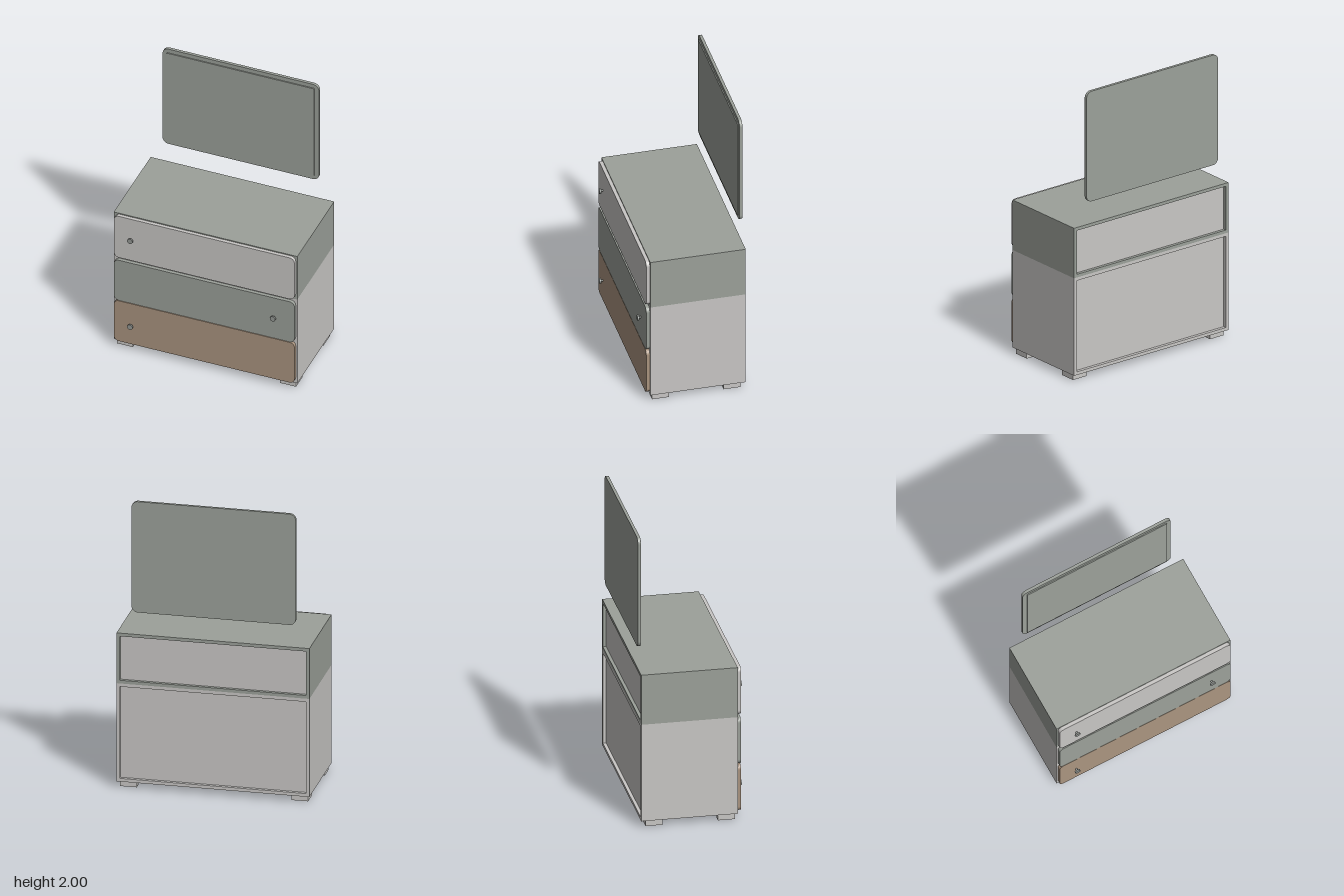
import * as THREE from 'three';

const mat = (name, color) => {
  const m = new THREE.MeshStandardMaterial({ color });
  m.name = name;
  return m;
};

export function createModel() {
  const white = mat('warm white', 0xc9c7c5);
  const sage = mat('sage green', 0x9ca19a);
  const tan = mat('tan', 0xab9580);
  const metal = mat('knob grey', 0x969a96);

  const model = new THREE.Group();
  model.name = 'dresserWithMirror';

  const add = (parent, name, geo, material, x = 0, y = 0, z = 0) => {
    const mesh = new THREE.Mesh(geo, material);
    mesh.name = name;
    mesh.position.set(x, y, z);
    parent.add(mesh);
    return mesh;
  };

  // Box given by its limits on each axis
  const block = (parent, name, material, [x0, x1], [y0, y1], [z0, z1]) =>
    add(parent, name, new THREE.BoxGeometry(x1 - x0, y1 - y0, z1 - z0), material,
      (x0 + x1) / 2, (y0 + y1) / 2, (z0 + z1) / 2);

  // Upright board with rounded corners, extruded from z0 to z1
  const board = (parent, name, material, [x0, x1], [y0, y1], [z0, z1], r) => {
    const s = new THREE.Shape();
    s.absarc(x1 - r, y1 - r, r, 0, Math.PI / 2);
    s.absarc(x0 + r, y1 - r, r, Math.PI / 2, Math.PI);
    s.absarc(x0 + r, y0 + r, r, Math.PI, Math.PI * 1.5);
    s.absarc(x1 - r, y0 + r, r, Math.PI * 1.5, Math.PI * 2);
    s.closePath();
    const geo = new THREE.ExtrudeGeometry(s, { depth: z1 - z0, bevelEnabled: false, curveSegments: 8 });
    return add(parent, name, geo, material, 0, 0, z0);
  };

  const W = 0.643, BACK = -0.343, FRONT = 0.297, T = 0.022;

  // Carcass: four walls around a recessed back panel
  const carcass = (name, material, y0, y1) => {
    const g = new THREE.Group();
    g.name = name;
    const z = [BACK, FRONT];
    block(g, 'leftWall', material, [W - T, W], [y0, y1], z);
    block(g, 'rightWall', material, [-W, -W + T], [y0, y1], z);
    block(g, 'topWall', material, [-W + T, W - T], [y1 - T, y1], z);
    block(g, 'bottomWall', material, [-W + T, W - T], [y0, y0 + T], z);
    block(g, 'backPanel', white, [-W + T, W - T], [y0 + T, y1 - T], [BACK + 0.022, BACK + 0.034]);
    model.add(g);
    return g;
  };
  carcass('upperCarcass', sage, 0.725, 1.075);
  const lower = carcass('lowerCarcass', white, 0.043, 0.725);
  block(lower, 'drawerRail', white, [-W + T, W - T], [0.371, 0.393], [BACK + 0.034, FRONT]);

  // Drawer fronts, each with one round knob
  const drawers = [
    ['topDrawer', white, 0.733, 1.068, -0.511, 0.905],
    ['middleDrawer', sage, 0.385, 0.711, 0.489, 0.557],
    ['bottomDrawer', tan, 0.054, 0.381, -0.511, 0.207],
  ];
  for (const [name, material, y0, y1, kx, ky] of drawers) {
    const g = new THREE.Group();
    g.name = name;
    board(g, 'drawerFront', material, [-0.632, 0.632], [y0, y1], [FRONT, 0.321], 0.034);
    const stem = new THREE.CylinderGeometry(0.007, 0.007, 0.018, 16).rotateX(Math.PI / 2);
    const disc = new THREE.CylinderGeometry(0.019, 0.019, 0.011, 24).rotateX(Math.PI / 2);
    add(g, 'knobStem', stem, metal, kx, ky, 0.329);
    add(g, 'knobDisc', disc, metal, kx, ky, 0.341);
    model.add(g);
  }

  // L-shaped feet with the bend at the outer corner
  for (const sx of [-1, 1]) for (const sz of [-1, 1]) {
    const ox = 0.627 * sx, oz = sz > 0 ? 0.281 : -0.311;
    const L = 0.112, w = 0.05;
    const s = new THREE.Shape();
    const pts = [[0, 0], [L, 0], [L, w], [w, w], [w, L], [0, L]];
    // Shape y becomes -z once laid flat
    s.setFromPoints(pts.map(([a, b]) => new THREE.Vector2(ox - sx * a, -(oz - sz * b))));
    const geo = new THREE.ExtrudeGeometry(s, { depth: 0.043, bevelEnabled: false }).rotateX(-Math.PI / 2);
    add(model, 'foot', geo, white);
  }

  // Floating wall mirror: rounded backing and a slightly smaller raised plate
  const mirror = new THREE.Group();
  mirror.name = 'wallMirror';
  board(mirror, 'mirrorBacking', sage, [-0.553, 0.542], [1.23, 2], [-0.347, -0.327], 0.042);
  board(mirror, 'mirrorPlate', sage, [-0.523, 0.511], [1.258, 1.97], [-0.327, -0.32], 0.006);
  model.add(mirror);

  return model;
}
